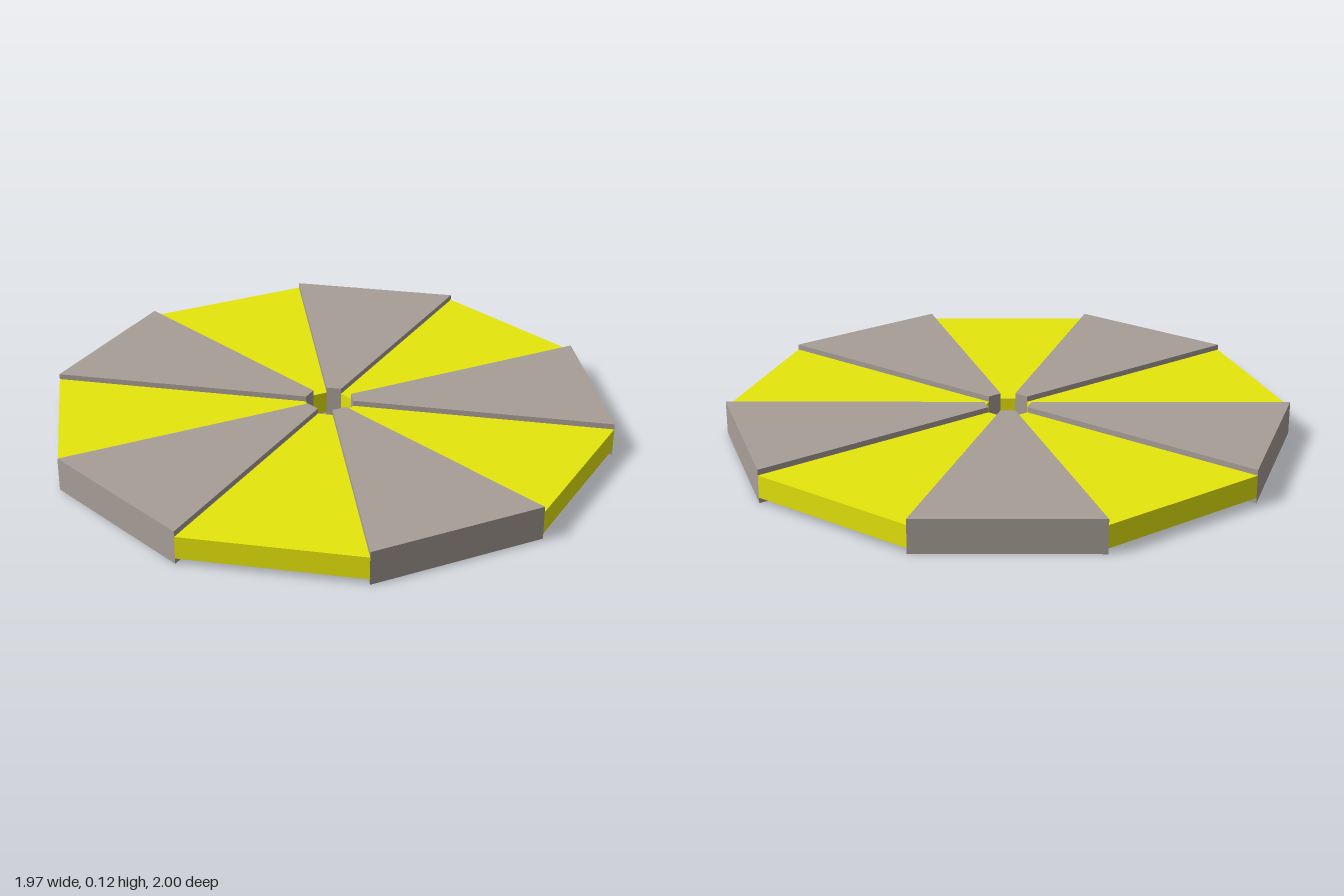
import * as THREE from 'three';

const SIDES = 10, OUTER = 1.005, INNER = 0.085, STEP = (Math.PI * 2) / SIDES;
const START = THREE.MathUtils.degToRad(84); // measured from +x towards +z

// One straight-edged wedge of the ring, standing between two heights
function wedge(index, bottom, top) {
  const a = START + index * STEP, b = a + STEP;
  const corner = (r, t) => new THREE.Vector2(r * Math.cos(t), -r * Math.sin(t));
  const shape = new THREE.Shape([corner(INNER, a), corner(OUTER, a), corner(OUTER, b), corner(INNER, b)]);
  const geometry = new THREE.ExtrudeGeometry(shape, { depth: top - bottom, bevelEnabled: false });
  return geometry.rotateX(-Math.PI / 2).translate(0, bottom, 0);
}

export function createModel() {
  const group = new THREE.Group();
  group.name = 'segmentedDisc';
  const grey = new THREE.MeshStandardMaterial({ color: 0xa89e97 });
  const yellow = new THREE.MeshStandardMaterial({ color: 0xe6e60c });

  // Thick grey wedges alternate with thinner yellow ones, recessed above and below
  for (let i = 0; i < SIDES; i++) {
    const thick = i % 2 === 0;
    const mesh = new THREE.Mesh(thick ? wedge(i, 0, 0.12) : wedge(i, 0.02, 0.1), thick ? grey : yellow);
    mesh.name = (thick ? 'greyWedge' : 'yellowWedge') + (Math.floor(i / 2) + 1);
    group.add(mesh);
  }
  return group;
}
